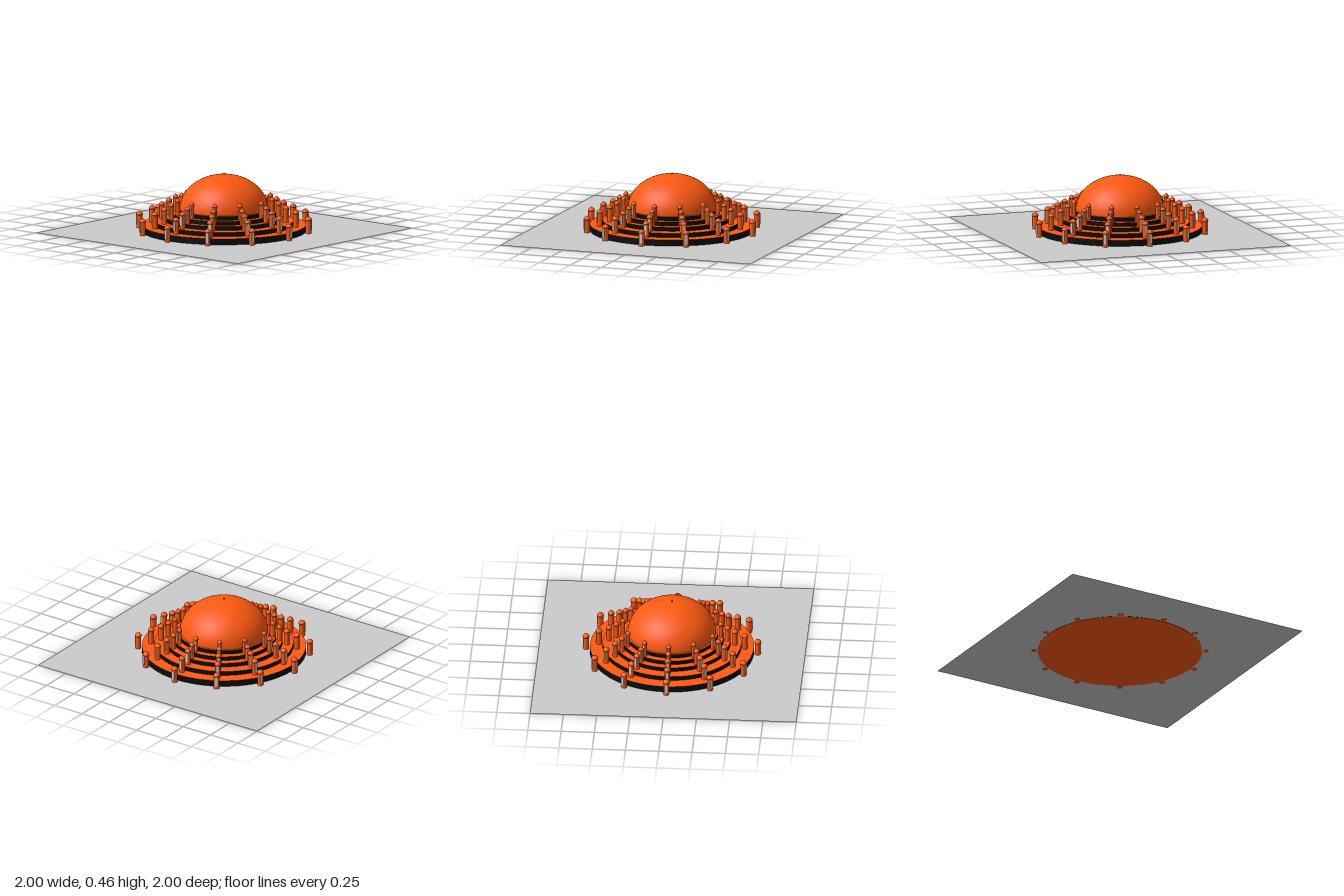
import * as THREE from 'three';

const orange = new THREE.MeshStandardMaterial({ color: 0xff5a10 });
const black = new THREE.MeshStandardMaterial({ color: 0x0c0c0c });
const grey = new THREE.MeshStandardMaterial({ color: 0xcccccc });
const groundGrey = new THREE.MeshStandardMaterial({ color: 0xcccccc, side: THREE.DoubleSide });

// Terraces from the outside in: radius and top height
const tiers = [[0.615, 0.048], [0.52, 0.08], [0.44, 0.11], [0.39, 0.14], [0.345, 0.17]];
// Tower rings, each standing just outside the terrace of the same index
const rings = [[0.645, 0.024], [0.548, 0.023], [0.473, 0.022], [0.418, 0.02], [0.368, 0.018]];
const TOWERS = 12;
const TOWER_HEIGHT = 0.135;

function add(parent, name, geometry, material, x = 0, y = 0, z = 0) {
  const mesh = new THREE.Mesh(geometry, material);
  mesh.name = name;
  mesh.position.set(x, y, z);
  parent.add(mesh);
  return mesh;
}

// Arched door panel, standing on y = 0
function doorGeometry(width, height) {
  const r = width / 2;
  const shape = new THREE.Shape();
  shape.moveTo(-r, 0);
  shape.lineTo(r, 0);
  shape.lineTo(r, height - r);
  shape.absarc(0, height - r, r, 0, Math.PI, false);
  shape.closePath();
  return new THREE.ExtrudeGeometry(shape, { depth: 0.006, bevelEnabled: false, curveSegments: 6 });
}

// Round tower with a small pointed cap and an outward-facing door
function createTower(r) {
  const tower = new THREE.Group();
  tower.name = 'tower';
  add(tower, 'towerShaft', new THREE.CylinderGeometry(r * 0.92, r * 0.92, 0.104, 20), orange, 0, 0.052, 0);
  const cap = [
    [0, 0.1], [r * 1.08, 0.1], [r * 1.1, 0.106], [r * 0.98, 0.114],
    [r * 0.7, 0.122], [r * 0.32, 0.127], [r * 0.1, 0.13], [0, TOWER_HEIGHT],
  ].map(([x, y]) => new THREE.Vector2(x, y));
  add(tower, 'towerCap', new THREE.LatheGeometry(cap, 20), orange);
  add(tower, 'towerDoor', doorGeometry(r * 0.95, 0.075), grey, 0, 0.025, r * 0.92 - 0.004);
  return tower;
}

export function createModel() {
  const model = new THREE.Group();
  model.name = 'domedMonument';

  // Thin square ground sheet
  const ground = add(model, 'groundSheet', new THREE.PlaneGeometry(2, 2), groundGrey, 0, 0.002, 0);
  ground.rotation.x = -Math.PI / 2;

  // Stepped terraces with dark walls and orange floors
  let base = 0;
  tiers.forEach(([radius, top], i) => {
    add(model, `terrace${i + 1}`, new THREE.CylinderGeometry(radius, radius, top - base, 96),
      [black, orange, orange], 0, (top + base) / 2, 0);
    base = top;
  });

  // Rings of towers
  rings.forEach(([distance, r], i) => {
    const ring = new THREE.Group();
    ring.name = `towerRing${i + 1}`;
    const floor = i === 0 ? 0 : tiers[i - 1][1];
    for (let k = 0; k < TOWERS; k++) {
      const angle = (k / TOWERS) * Math.PI * 2;
      const tower = createTower(r);
      tower.position.set(Math.sin(angle) * distance, floor, Math.cos(angle) * distance);
      tower.rotation.y = angle;
      ring.add(tower);
    }
    model.add(ring);
  });

  // Great dome and its needle
  const dome = add(model, 'dome',
    new THREE.SphereGeometry(0.33, 64, 24, 0, Math.PI * 2, 0, Math.PI / 2), orange, 0, 0.17, 0);
  dome.scale.y = 0.258 / 0.33;
  add(model, 'needle', new THREE.CylinderGeometry(0.001, 0.003, 0.04, 8), orange, 0, 0.44, 0);

  return model;
}
